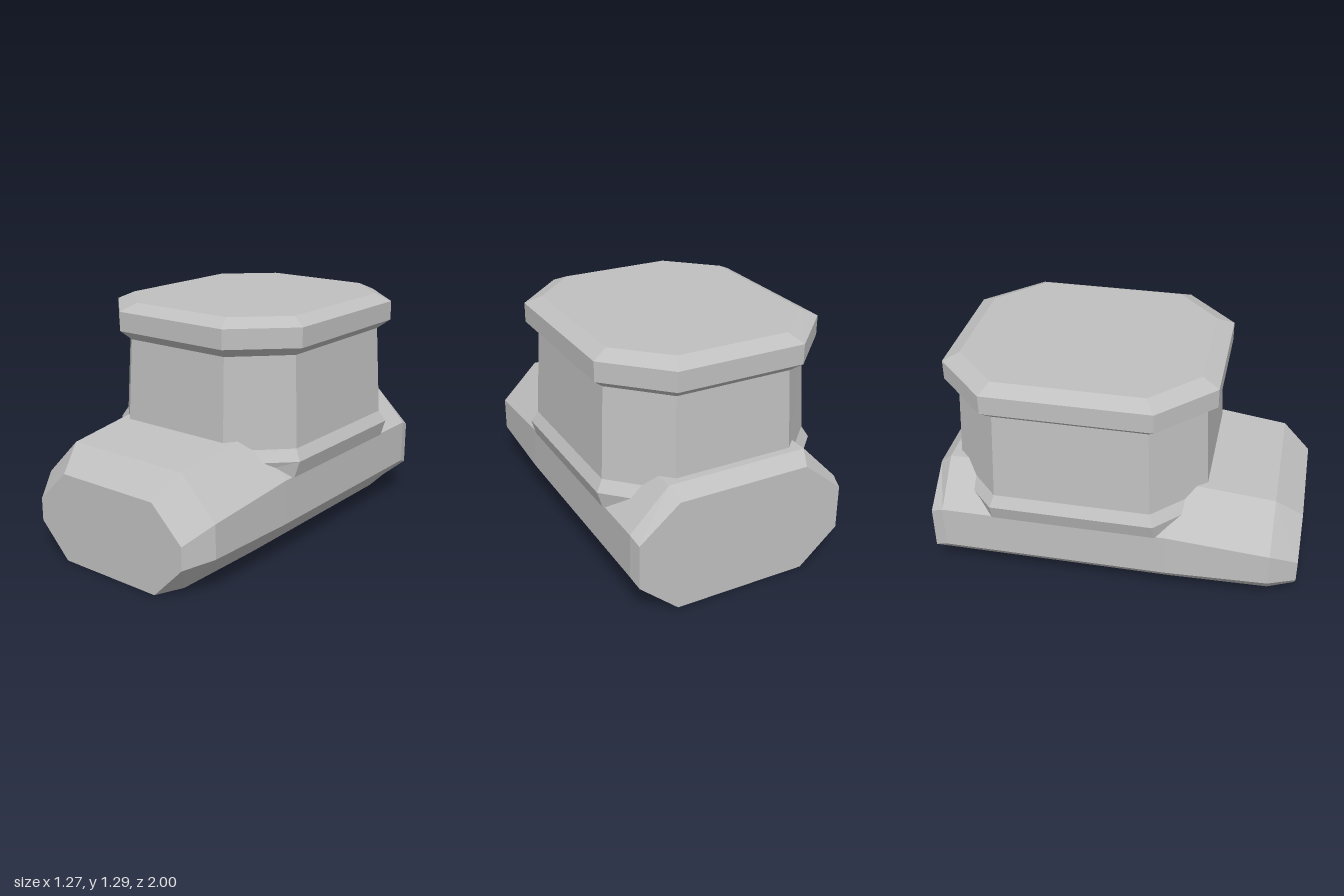
import * as THREE from 'three';

// Skin a series of octagonal rings (counter-clockwise seen from the first ring's end), with end caps
function loft(rings, material, name) {
  const pos = [];
  const tri = (...pts) => pts.forEach((p) => pos.push(...p));
  for (let i = 0; i < rings.length - 1; i++) {
    const p = rings[i], q = rings[i + 1];
    for (let j = 0; j < 8; j++) {
      const k = (j + 1) % 8;
      tri(p[j], q[j], p[k]);
      tri(p[k], q[j], q[k]);
    }
  }
  const first = rings[0], last = rings[rings.length - 1];
  for (let j = 1; j < 7; j++) {
    tri(first[0], first[j], first[j + 1]);
    tri(last[0], last[j + 1], last[j]);
  }
  const geometry = new THREE.BufferGeometry();
  geometry.setAttribute('position', new THREE.Float32BufferAttribute(pos, 3));
  geometry.computeVertexNormals();
  const mesh = new THREE.Mesh(geometry, material);
  mesh.name = name;
  return mesh;
}

// Upright octagon at depth z: bottom, side and top half-widths, lower and upper side heights, top height
const bodyRing = ([z, bottom, side, top, low, high, roof]) => [
  [bottom, 0, z], [side, low, z], [side, high, z], [top, roof, z],
  [-top, roof, z], [-side, high, z], [-side, low, z], [-bottom, 0, z],
];

// Flat octagon at height y: half-width, front and back z, then where the corner cuts begin
const planRing = ([y, hx, front, back, ix, cutFront, cutBack]) => [
  [hx, y, cutFront], [hx, y, cutBack], [ix, y, back], [-ix, y, back],
  [-hx, y, cutBack], [-hx, y, cutFront], [-ix, y, front], [ix, y, front],
];

export function createModel() {
  const group = new THREE.Group();
  const grey = new THREE.MeshStandardMaterial({ color: 0xc0c0c0, flatShading: true });
  grey.name = 'plain grey';

  // Long chamfered base, tapering towards the front
  group.add(loft([
    [1, 0.31, 0.49, 0.305, 0.185, 0.31, 0.49],
    [0.85, 0.375, 0.578, 0.367, 0.215, 0.4, 0.612],
    [0.3, 0.39, 0.6, 0.385, 0.215, 0.46, 0.675],
    [-0.93, 0.39, 0.6, 0.39, 0.215, 0.46, 0.675],
    [-1, 0.37, 0.585, 0.365, 0.187, 0.43, 0.61],
  ].map(bodyRing), grey, 'base'));

  // Tapered tower with a flared foot
  group.add(loft([
    [1.1, 0.575, 0.46, -0.865, 0.317, 0.2, -0.605],
    [0.61, 0.6, 0.485, -0.892, 0.33, 0.215, -0.625],
    [0.55, 0.635, 0.515, -0.93, 0.35, 0.235, -0.645],
    [0.46, 0.608, 0.485, -0.9, 0.34, 0.24, -0.645],
  ].map(planRing), grey, 'tower'));

  // Overhanging bevelled cap
  group.add(loft([
    [1.295, 0.553, 0.425, -0.845, 0.305, 0.185, -0.605],
    [1.255, 0.635, 0.515, -0.93, 0.348, 0.233, -0.645],
    [1.15, 0.635, 0.515, -0.93, 0.348, 0.233, -0.645],
    [1.1, 0.575, 0.46, -0.865, 0.317, 0.2, -0.605],
  ].map(planRing), grey, 'cap'));

  return group;
}
